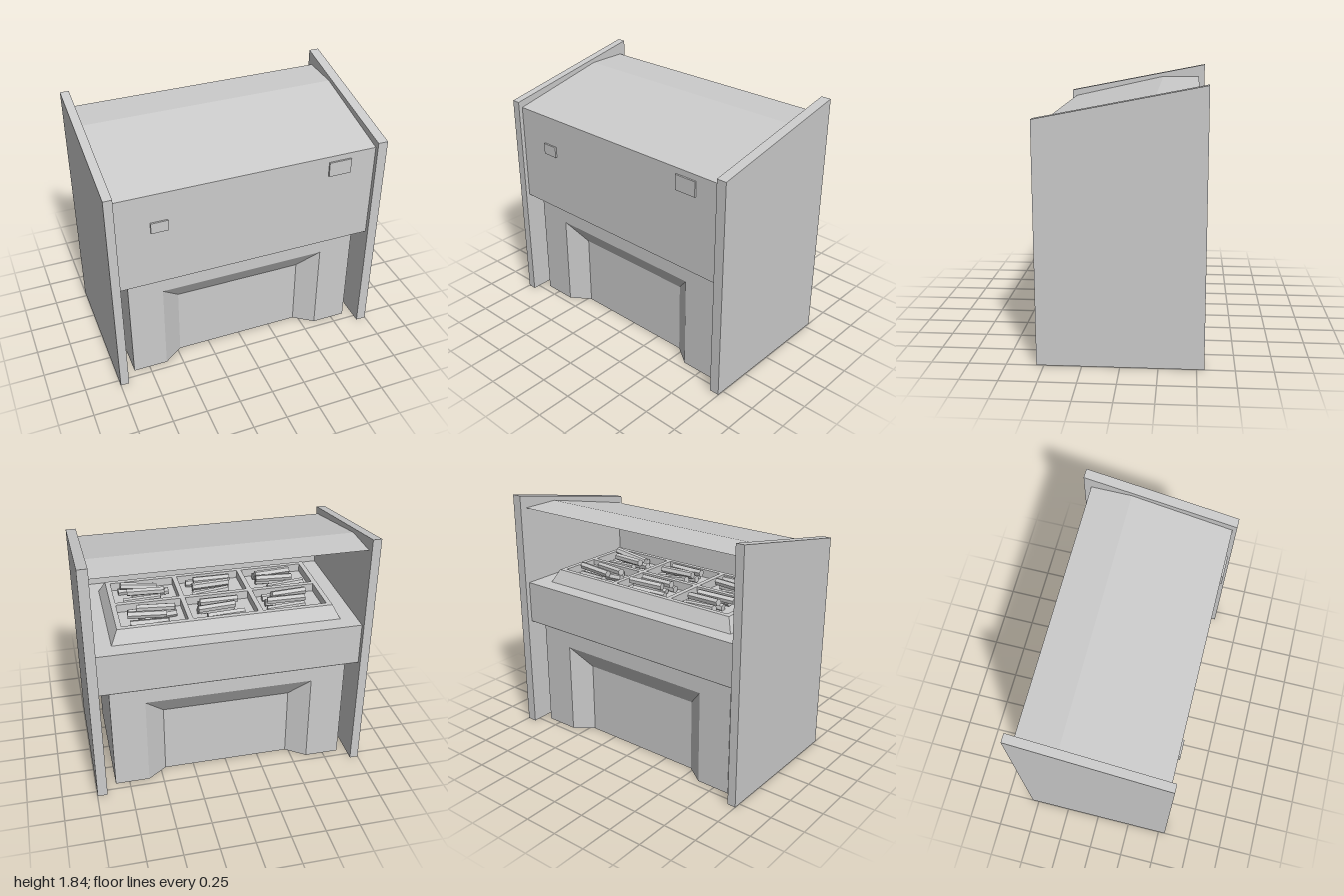
import * as THREE from 'three';

const material = new THREE.MeshStandardMaterial({ color: 0xcccccc, flatShading: true });
const sheetMaterial = new THREE.MeshStandardMaterial({ color: 0xcccccc, flatShading: true, side: THREE.DoubleSide });
const CX = -0.007; // middle of the space between the side panels
const W = 0.933; // half width between the side panels

function add(parent, name, geometry, mat = material) {
  const mesh = new THREE.Mesh(geometry, mat);
  mesh.name = name;
  parent.add(mesh);
  return mesh;
}

// Box given by its lowest and highest corners
function box(parent, name, a, b) {
  const mesh = add(parent, name, new THREE.BoxGeometry(b[0] - a[0], b[1] - a[1], b[2] - a[2]));
  mesh.position.set((a[0] + b[0]) / 2, (a[1] + b[1]) / 2, (a[2] + b[2]) / 2);
  return mesh;
}

// Surface made of convex polygons, each listed counter-clockwise from outside
function faces(polygons) {
  const pos = [];
  for (const p of polygons)
    for (let i = 1; i < p.length - 1; i++) pos.push(...p[0], ...p[i], ...p[i + 1]);
  const g = new THREE.BufferGeometry();
  g.setAttribute('position', new THREE.Float32BufferAttribute(pos, 3));
  g.computeVertexNormals();
  return g;
}

// Side panel with a top edge that rises to the back
function sidePanel(parent, name, x, width) {
  const shape = new THREE.Shape([[-0.55, 0], [0.55, 0], [0.55, 1.835], [-0.55, 1.62]].map(p => new THREE.Vector2(...p)));
  const g = new THREE.ExtrudeGeometry(shape, { depth: width, bevelEnabled: false });
  g.rotateY(Math.PI / 2);
  add(parent, name, g).position.x = x;
}

// One face of the base, with a kick recess open at the bottom, and its end wall
function baseHalf() {
  const w = 0.86, h = 0.84, z = 0.445, zi = 0.345;
  const o = 0.61, oy = 0.695, n = 0.47, ny = 0.54;
  return faces([
    [[-w, 0, z], [-o, 0, z], [-o, oy, z], [-w, h, z]],
    [[o, 0, z], [w, 0, z], [w, h, z], [o, oy, z]],
    [[-o, oy, z], [o, oy, z], [w, h, z], [-w, h, z]],
    [[-o, 0, z], [-n, 0, zi], [-n, ny, zi], [-o, oy, z]],
    [[n, 0, zi], [o, 0, z], [o, oy, z], [n, ny, zi]],
    [[-n, ny, zi], [n, ny, zi], [o, oy, z], [-o, oy, z]],
    [[-n, 0, zi], [n, 0, zi], [n, ny, zi], [-n, ny, zi]],
    [[w, 0, z], [w, 0, -z], [w, h, -z], [w, h, z]],
    [[-w, 0, 0], [w, 0, 0], [w, 0, zi], [-w, 0, zi]],
    [[-w, 0, zi], [-n, 0, zi], [-o, 0, z], [-w, 0, z]],
    [[n, 0, zi], [w, 0, zi], [w, 0, z], [o, 0, z]],
  ]);
}

// Compartment grid whose outer walls flare out towards the foot
function trayGrid(halfX, halfZ, height, flare, cols, rows, cells) {
  const rect = (Type, x0, y0, x1, y1) => new Type([[x0, y0], [x1, y0], [x1, y1], [x0, y1]].map(p => new THREE.Vector2(...p)));
  const shape = rect(THREE.Shape, -halfX, -halfZ, halfX, halfZ);
  const wall = 0.035;
  const cw = (2 * halfX - wall) / cols, ch = (2 * halfZ - wall) / rows;
  for (let i = 0; i < cols; i++)
    for (let j = 0; j < rows; j++) {
      const x = -halfX + wall + i * cw, y = -halfZ + wall + j * ch;
      shape.holes.push(rect(THREE.Path, x, y, x + cw - wall, y + ch - wall));
      cells.push([x + (cw - wall) / 2, y + (ch - wall) / 2]);
    }
  const g = new THREE.ExtrudeGeometry(shape, { depth: height, bevelEnabled: false });
  g.rotateX(-Math.PI / 2);
  const p = g.attributes.position;
  for (let i = 0; i < p.count; i++) {
    const x = p.getX(i), z = p.getZ(i);
    if (p.getY(i) > height / 2) continue;
    if (Math.abs(x) > halfX - 0.001) p.setX(i, x + Math.sign(x) * flare);
    if (Math.abs(z) > halfZ - 0.001) p.setZ(i, z + Math.sign(z) * flare);
  }
  g.computeVertexNormals();
  return g;
}

export function createModel() {
  const model = new THREE.Group();
  model.name = 'servingCounter';

  // Side panels
  sidePanel(model, 'rightSidePanel', -1, 0.062);
  sidePanel(model, 'leftSidePanel', 0.926, 0.072);

  // Base, the same at front and back
  const base = new THREE.Group();
  base.name = 'base';
  base.position.x = CX;
  model.add(base);
  add(base, 'baseFront', baseHalf());
  add(base, 'baseBack', baseHalf()).rotation.y = Math.PI;

  // Shallow flare from the base out to the cabinet
  const flare = new THREE.BoxGeometry(2 * W, 0.016, 1.036);
  const p = flare.attributes.position;
  for (let i = 0; i < p.count; i++)
    if (p.getY(i) < 0) p.setXYZ(i, Math.sign(p.getX(i)) * 0.86, p.getY(i), Math.sign(p.getZ(i)) * 0.445);
  flare.computeVertexNormals();
  add(model, 'cabinetUnderside', flare).position.set(CX, 0.847, 0);

  // Cabinet
  box(model, 'cabinet', [CX - W, 0.855, -0.515], [CX + W, 1.165, 0.52]);

  // Thin hood: front panel, sloping roof and flat roof
  const profile = [[1.165, 0.52], [1.573, 0.52], [1.737, -0.21], [1.737, -0.5]];
  const hood = [];
  for (let i = 0; i < 3; i++) {
    const [a, b] = [profile[i], profile[i + 1]];
    hood.push([[CX - W, ...a], [CX + W, ...a], [CX + W, ...b], [CX - W, ...b]]);
  }
  add(model, 'hood', faces(hood), sheetMaterial);

  // Small plates on the front panel
  box(model, 'smallPlate', [-0.7, 1.28, 0.515], [-0.58, 1.36, 0.532]);
  box(model, 'largePlate', [0.575, 1.42, 0.515], [0.74, 1.53, 0.532]);

  // Raised tray with compartments
  const tray = new THREE.Group();
  tray.name = 'tray';
  tray.position.set(CX, 1.165, 0);
  model.add(tray);
  const cells = [];
  add(tray, 'trayGrid', trayGrid(0.765, 0.35, 0.095, 0.048, 3, 2, cells));
  box(tray, 'trayFloor', [-0.75, 0, -0.34], [0.75, 0.035, 0.34]);

  // Loose bars lying in each compartment
  let seed = 7;
  const rand = () => (seed = (seed * 16807) % 2147483647) / 2147483647;
  const bar = new THREE.CylinderGeometry(0.027, 0.027, 0.27, 6).rotateZ(Math.PI / 2);
  for (const [x, y] of cells)
    for (let k = 0; k < 5; k++) {
      const mesh = add(tray, 'bar', bar);
      const upper = k > 2;
      mesh.position.set(x + (rand() - 0.5) * 0.1, upper ? 0.105 : 0.062, -y + (upper ? k - 3.5 : k - 1) * 0.085);
      mesh.rotation.set(rand(), (rand() - 0.5) * 0.45, (rand() - 0.5) * 0.12);
    }
  return model;
}
